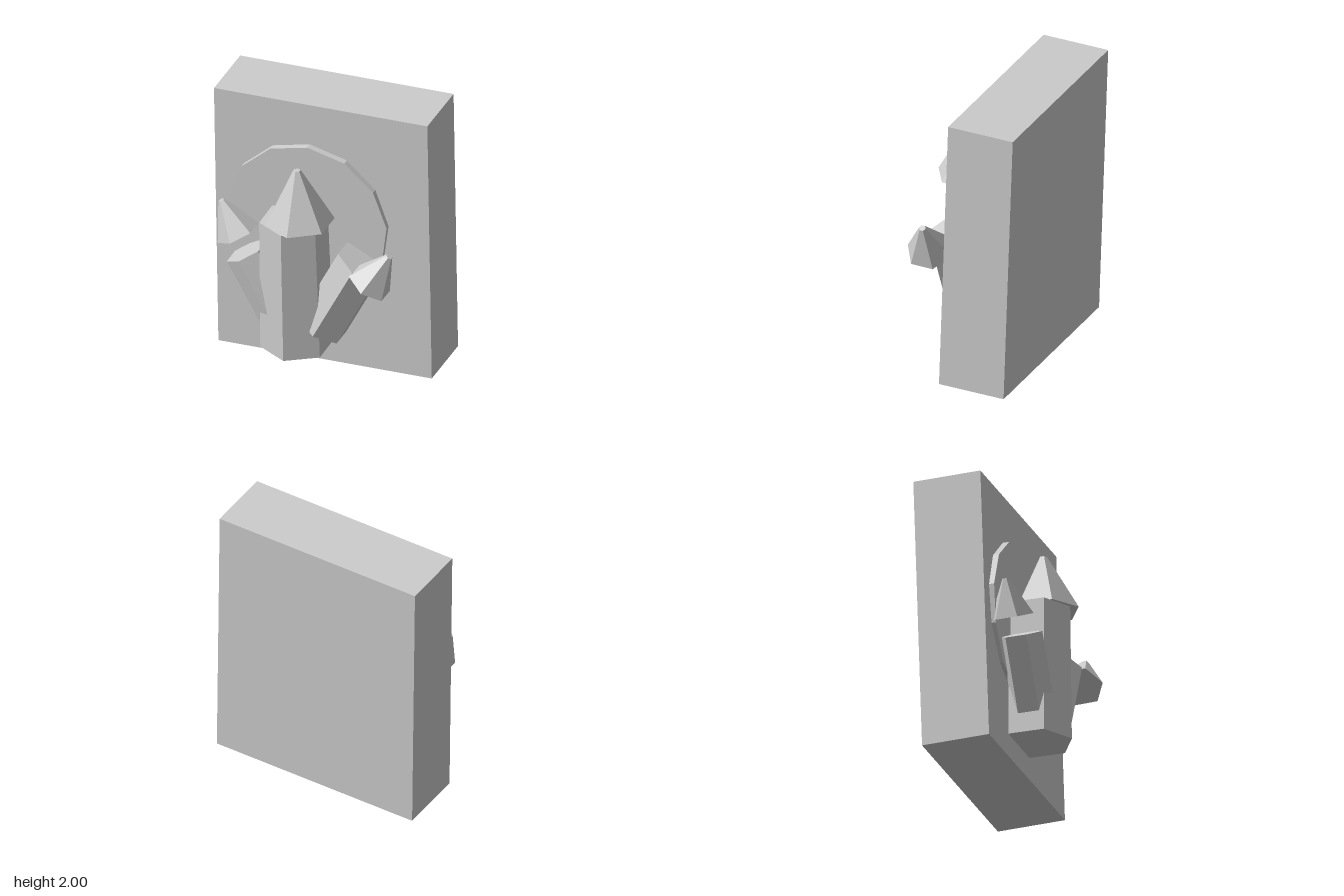
import * as THREE from 'three';

const stone = new THREE.MeshStandardMaterial({ color: 0xcccccc, flatShading: true });
stone.name = 'grey stone';

export function createModel() {
  const group = new THREE.Group();
  const up = new THREE.Vector3(0, 1, 0);

  const add = (name, geometry) => {
    const mesh = new THREE.Mesh(geometry, stone);
    mesh.name = name;
    group.add(mesh);
    return mesh;
  };

  // Six-sided prism or frustum between two points, one corner facing forward
  const hexPrism = (name, bottom, top, bottomRadius, topRadius) => {
    const a = new THREE.Vector3(...bottom);
    const b = new THREE.Vector3(...top);
    const axis = b.clone().sub(a);
    const mesh = add(name, new THREE.CylinderGeometry(topRadius, bottomRadius, axis.length(), 6));
    mesh.position.copy(a).add(b).multiplyScalar(0.5);
    mesh.quaternion.setFromUnitVectors(up, axis.normalize());
  };

  // Slightly leaning back slab
  const slab = add('slab', new THREE.BoxGeometry(1.551, 1.95, 0.48));
  slab.position.set(0, 1.005, -0.203);
  slab.rotation.set(-0.023, 0, 0.0257);

  // Thin raised disc behind the crystals
  const disc = add('disc', new THREE.CylinderGeometry(0.58, 0.58, 0.1, 13));
  disc.position.set(-0.1, 1.1, 0.02);
  disc.rotation.x = -Math.PI / 2;

  // Columns
  hexPrism('centreColumn', [-0.13, 0.2, 0.185], [-0.15, 1.175, 0.195], 0.25, 0.235);
  hexPrism('leftColumn', [0.055, 0.386, 0.185], [0.334, 0.937, 0.165], 0.18, 0.18);
  hexPrism('rightColumn', [-0.18, 0.305, 0.2], [-0.49, 0.853, 0.2], 0.15, 0.15);

  // Pointed caps with small flat tips
  hexPrism('centreCap', [-0.09, 1.188, 0.232], [-0.115, 1.585, 0.225], 0.238, 0.027);
  hexPrism('leftCap', [0.44, 0.855, 0.295], [0.58, 1.092, 0.283], 0.16, 0.024);
  hexPrism('rightCap', [-0.566, 0.957, 0.16], [-0.69, 1.188, 0.157], 0.155, 0.023);

  return group;
}
